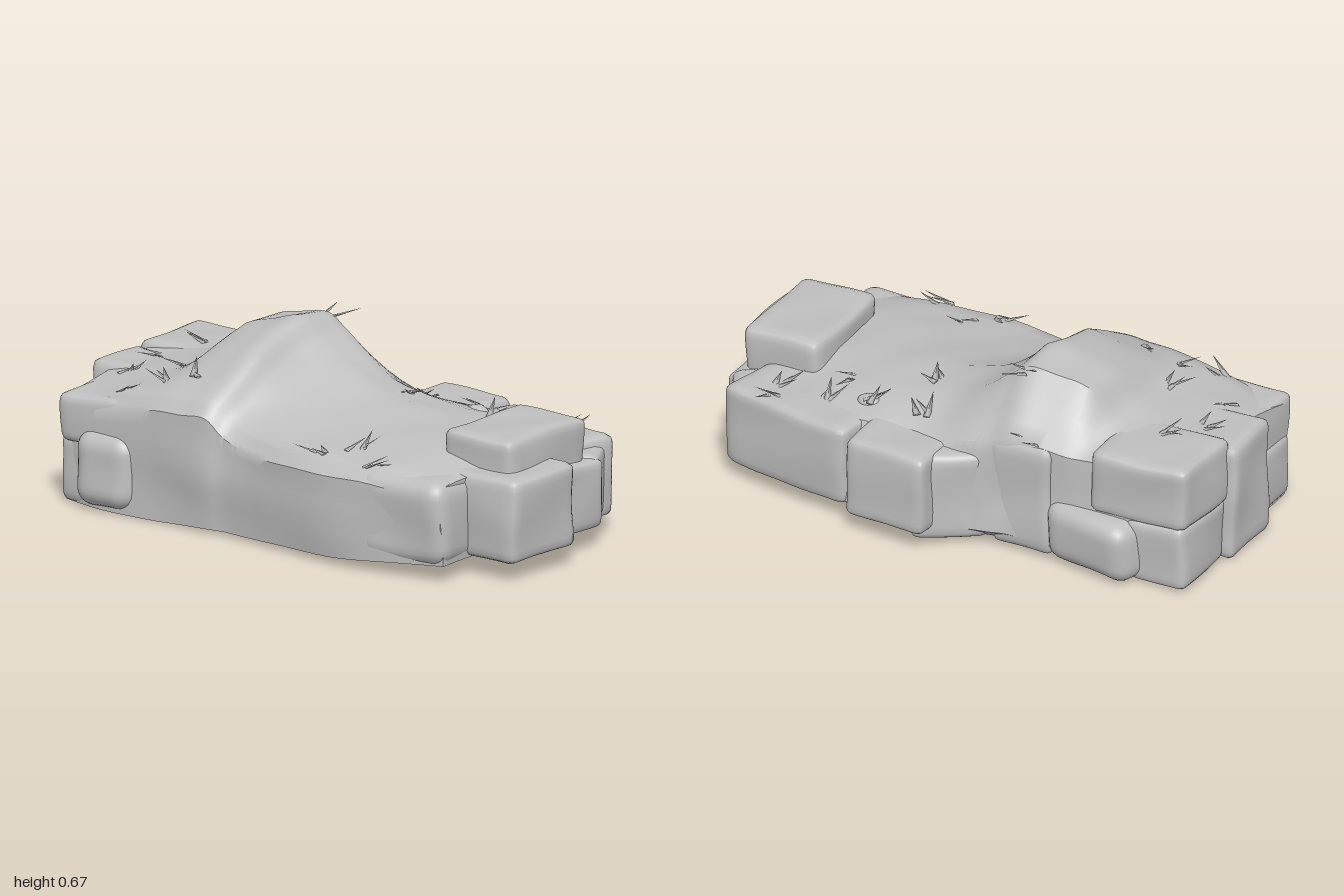
import * as THREE from 'three';
import { mergeVertices, mergeGeometries, toCreasedNormals } from 'three/addons/utils/BufferGeometryUtils.js';

const rock = new THREE.MeshStandardMaterial({ color: 0xbfbfbf });
rock.name = 'grey stone';

// Smooth repeatable surface wobble
function weather(p, amount) {
  const { x, y, z } = p;
  p.x += amount * (Math.sin(11 * z + 7 * y) + 0.6 * Math.sin(23 * y + 5 * z + 1));
  p.y += amount * 0.6 * (Math.sin(13 * x + 9 * z) + 0.6 * Math.sin(21 * z - 17 * x + 2));
  p.z += amount * (Math.sin(12 * x + 8 * y + 1) + 0.6 * Math.sin(19 * y - 9 * x));
  return p;
}

// Sloping rock mass: z, left x, right x at top, right x at foot, five top heights, bottom
const stations = [
  [0.78, -0.50, 0.30, 0.36, 0.34, 0.37, 0.38, 0.36, 0.33, 0.065],
  [0.55, -0.53, 0.36, 0.40, 0.37, 0.41, 0.41, 0.38, 0.35, 0.05],
  [0.30, -0.54, 0.38, 0.48, 0.37, 0.41, 0.44, 0.42, 0.36, 0.03],
  [0.05, -0.52, 0.37, 0.50, 0.37, 0.42, 0.48, 0.46, 0.37, 0.025],
  [-0.10, -0.49, 0.38, 0.42, 0.38, 0.46, 0.545, 0.53, 0.40, 0.02],
  [-0.19, -0.48, 0.37, 0.40, 0.41, 0.52, 0.61, 0.60, 0.42, 0.02],
  [-0.26, -0.49, 0.37, 0.38, 0.47, 0.60, 0.67, 0.65, 0.44, 0.02],
  [-0.37, -0.49, 0.36, 0.37, 0.46, 0.58, 0.645, 0.64, 0.43, 0.015],
  [-0.48, -0.49, 0.35, 0.36, 0.455, 0.54, 0.61, 0.61, 0.42, 0.01],
  [-0.58, -0.49, 0.33, 0.36, 0.44, 0.49, 0.50, 0.49, 0.42, 0.01],
  [-0.75, -0.48, 0.34, 0.36, 0.41, 0.45, 0.47, 0.47, 0.43, 0.01],
  [-0.91, -0.45, 0.33, 0.34, 0.38, 0.42, 0.45, 0.46, 0.43, 0.01],
];

function bodyGeometry() {
  const across = [0.06, 0.33, 0.62, 0.8, 1];
  const rings = stations.map(([z, l, r, foot, ...h]) => {
    const bottom = h.pop();
    return [
      new THREE.Vector3(l + 0.01, bottom, z),
      new THREE.Vector3(l, 0.2, z),
      new THREE.Vector3(l + 0.005, h[0] - 0.05, z),
      ...h.map((y, i) => new THREE.Vector3(l + (r - l) * across[i], y, z)),
      new THREE.Vector3(foot - 0.01, 0.2, z),
      new THREE.Vector3(foot, bottom + 0.05, z),
      new THREE.Vector3(foot - 0.07, bottom, z),
      new THREE.Vector3((l + r) / 2, bottom, z),
    ];
  });
  const n = rings[0].length, rows = 55, sub = 4, cols = n * sub;
  const columns = rings[0].map((_, j) => new THREE.CatmullRomCurve3(rings.map((r) => r[j])));
  const pos = [], idx = [];
  for (let i = 0; i <= rows; i++) {
    const ring = columns.map((c) => c.getPoint(i / rows));
    for (let j = 0; j < cols; j++) {
      const k = Math.floor(j / sub);
      const p = ring[k].clone().lerp(ring[(k + 1) % n], (j % sub) / sub);
      const y = p.y;
      weather(p, 0.005);
      if (y < 0.08) p.y = y;
      pos.push(p.x, p.y, p.z);
    }
  }
  for (let i = 0; i < rows; i++) {
    for (let j = 0; j < cols; j++) {
      const a = i * cols + j, b = i * cols + ((j + 1) % cols);
      idx.push(a, b, a + cols, b, b + cols, a + cols);
    }
  }
  // End caps
  const front = pos.length / 3;
  pos.push(-0.1, 0.22, 0.78, -0.06, 0.24, -0.91);
  for (let j = 0; j < cols; j++) {
    const k = (j + 1) % cols;
    idx.push(front, k, j, front + 1, rows * cols + j, rows * cols + k);
  }
  const g = new THREE.BufferGeometry();
  g.setAttribute('position', new THREE.Float32BufferAttribute(pos, 3));
  g.setIndex(idx);
  return toCreasedNormals(g, 0.7);
}

// Worn block filling the given bounds, optionally turned about the vertical
function stoneGeometry([x0, x1, y0, y1, z0, z1, yaw = 0, radius = 0.03]) {
  const half = new THREE.Vector3(x1 - x0, y1 - y0, z1 - z0).multiplyScalar(0.5);
  const centre = new THREE.Vector3(x0 + x1, y0 + y1, z0 + z1).multiplyScalar(0.5);
  const inner = half.clone().subScalar(radius);
  const box = new THREE.BoxGeometry(half.x * 2, half.y * 2, half.z * 2, 14, 14, 14);
  box.deleteAttribute('normal');
  box.deleteAttribute('uv');
  const g = mergeVertices(box);
  const up = new THREE.Vector3(0, 1, 0);
  const p = new THREE.Vector3(), core = new THREE.Vector3();
  const at = g.attributes.position;
  for (let i = 0; i < at.count; i++) {
    p.fromBufferAttribute(at, i);
    core.copy(p).clamp(inner.clone().negate(), inner);
    p.sub(core).setLength(radius).add(core).applyAxisAngle(up, yaw).add(centre);
    weather(p, 0.005);
    at.setXYZ(i, p.x, Math.max(p.y, 0), p.z);
  }
  g.computeVertexNormals();
  return g;
}

// Bounds x, y, z, then optional yaw and corner radius
const stones = {
  frontStone: [-0.35, -0.005, 0.07, 0.37, 0.55, 0.99],
  frontTopStone: [-0.26, 0.18, 0.2, 0.48, 0.60, 0.895],
  frontRightStone: [-0.525, -0.2, 0.055, 0.36, 0.42, 0.79, 0.05, 0.06],
  frontLeftStone: [0.0, 0.25, 0.075, 0.325, 0.50, 0.925],
  frontCornerStone: [0.095, 0.285, 0.075, 0.335, 0.50, 0.90, 0.54],
  leftWallStone: [0.15, 0.445, 0.065, 0.365, 0.29, 0.83, -0.19],
  leftOuterStone: [0.27, 0.545, 0.07, 0.37, -0.03, 0.29, -0.04],
  leftMiddleStone: [0.26, 0.46, 0.03, 0.36, -0.15, 0.11, 0.6],
  ridgeFootStone: [0.15, 0.375, 0.02, 0.43, -0.43, -0.19],
  lowerSideStone: [0.08, 0.415, 0.015, 0.24, -0.79, -0.43, -0.2, 0.06],
  lowerCornerStone: [0.05, 0.36, 0.01, 0.25, -0.95, -0.72],
  upperCornerStone: [0.03, 0.355, 0.235, 0.475, -0.955, -0.58],
  backStone: [-0.2, 0.07, 0.01, 0.445, -0.99, -0.65],
  backRightUpperStone: [-0.475, -0.18, 0.23, 0.405, -0.91, -0.55],
  backRightLowerStone: [-0.46, -0.18, 0.01, 0.25, -0.92, -0.70],
  rightBulgeStone: [-0.52, -0.25, 0.02, 0.29, -0.83, -0.58, 0, 0.07],
};

// Tuft positions (x, z)
const tufts = [
  [-0.4, -0.7], [-0.25, -0.8], [-0.03, -0.82], [0.14, -0.73], [-0.16, -0.6], [-0.35, -0.54],
  [-0.32, -0.42], [0.22, -0.27], [0.35, -0.35], [-0.46, 0.22], [-0.38, 0.32], [-0.48, 0.45],
  [0.12, 0.15], [0.28, 0.12], [0.29, 0.33], [0.18, 0.45], [0.33, 0.5], [0.27, 0.68], [0.38, 0.66],
];

export function createModel() {
  const group = new THREE.Group();
  const add = (name, geometry) => {
    const mesh = new THREE.Mesh(geometry, rock);
    mesh.name = name;
    group.add(mesh);
  };
  add('rockMass', bodyGeometry());
  for (const [name, bounds] of Object.entries(stones)) add(name, stoneGeometry(bounds));

  // Small rounded pebble beside the wall
  const pebble = new THREE.IcosahedronGeometry(0.035, 2);
  pebble.scale(1, 0.7, 1.3).translate(0.27, 0.38, 0.34);
  add('pebble', pebble);

  // Slim leaning blades rooted on the surface
  let seed = 7;
  const random = () => (seed = (seed * 16807) % 2147483647) / 2147483647;
  const ray = new THREE.Raycaster();
  const down = new THREE.Vector3(0, -1, 0);
  const blades = [];
  for (const [x, z] of tufts) {
    ray.set(new THREE.Vector3(x, 2, z), down);
    const hit = ray.intersectObjects(group.children)[0];
    if (!hit) continue;
    const heading = random() * Math.PI * 2;
    for (let i = 0; i < 3; i++) {
      const length = 0.06 + random() * 0.05;
      const blade = new THREE.ConeGeometry(0.014, length, 4);
      blade.scale(1, 1, 0.3).translate(0, length / 2 - 0.01, 0);
      blade.rotateX(1 + random() * 0.4).rotateY(heading + (i - 1) * 0.5);
      blade.translate(x + (random() - 0.5) * 0.05, hit.point.y, z + (random() - 0.5) * 0.05);
      blades.push(blade);
    }
  }
  add('grassTufts', mergeGeometries(blades));
  return group;
}
